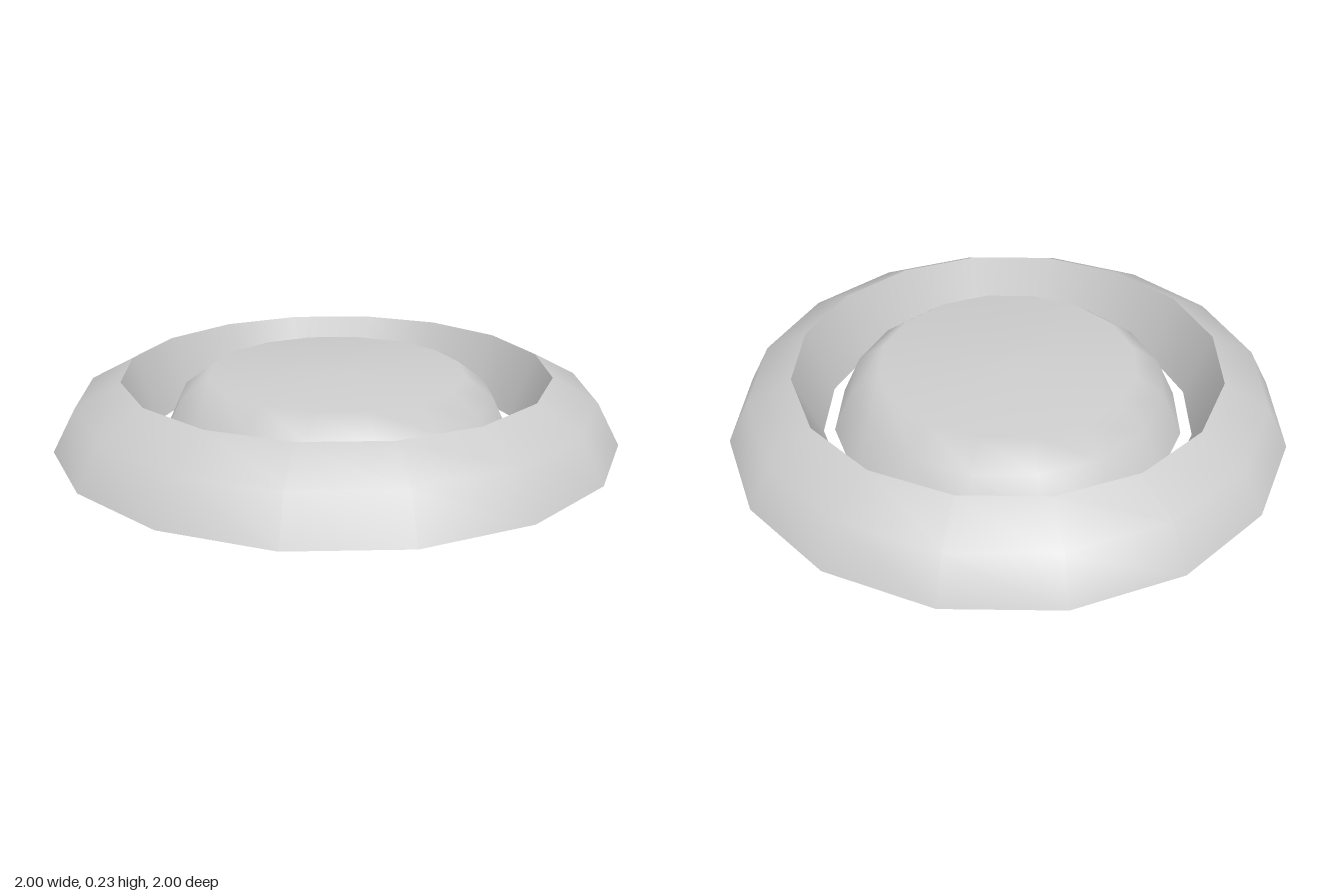
import * as THREE from 'three';

const SIDES = 16;

// Thin revolved shell; profile is a list of [radius, height]
function shell(name, profile, material) {
  const points = profile.map(([r, y]) => new THREE.Vector2(r, y));
  const mesh = new THREE.Mesh(new THREE.LatheGeometry(points, SIDES), material);
  mesh.name = name;
  return mesh;
}

export function createModel() {
  const material = new THREE.MeshStandardMaterial({ color: 0xcccccc, side: THREE.DoubleSide });
  const model = new THREE.Group();
  model.name = 'ringedDome';

  // Ring, open underneath, with a sharp crease where its two walls meet
  const ring = new THREE.Group();
  ring.name = 'ring';
  ring.add(
    shell('ringOuterWall', [[1, 0], [0.92, 0.15], [0.76, 0.235]], material),
    shell('ringInnerWall', [[0.76, 0.235], [0.67, 0]], material),
  );

  // Hollow dome standing inside the ring with a narrow gap around it
  const dome = shell('centreDome', [[0.63, 0], [0.56, 0.15], [0.46, 0.225], [0, 0.235]], material);

  model.add(ring, dome);
  return model;
}
